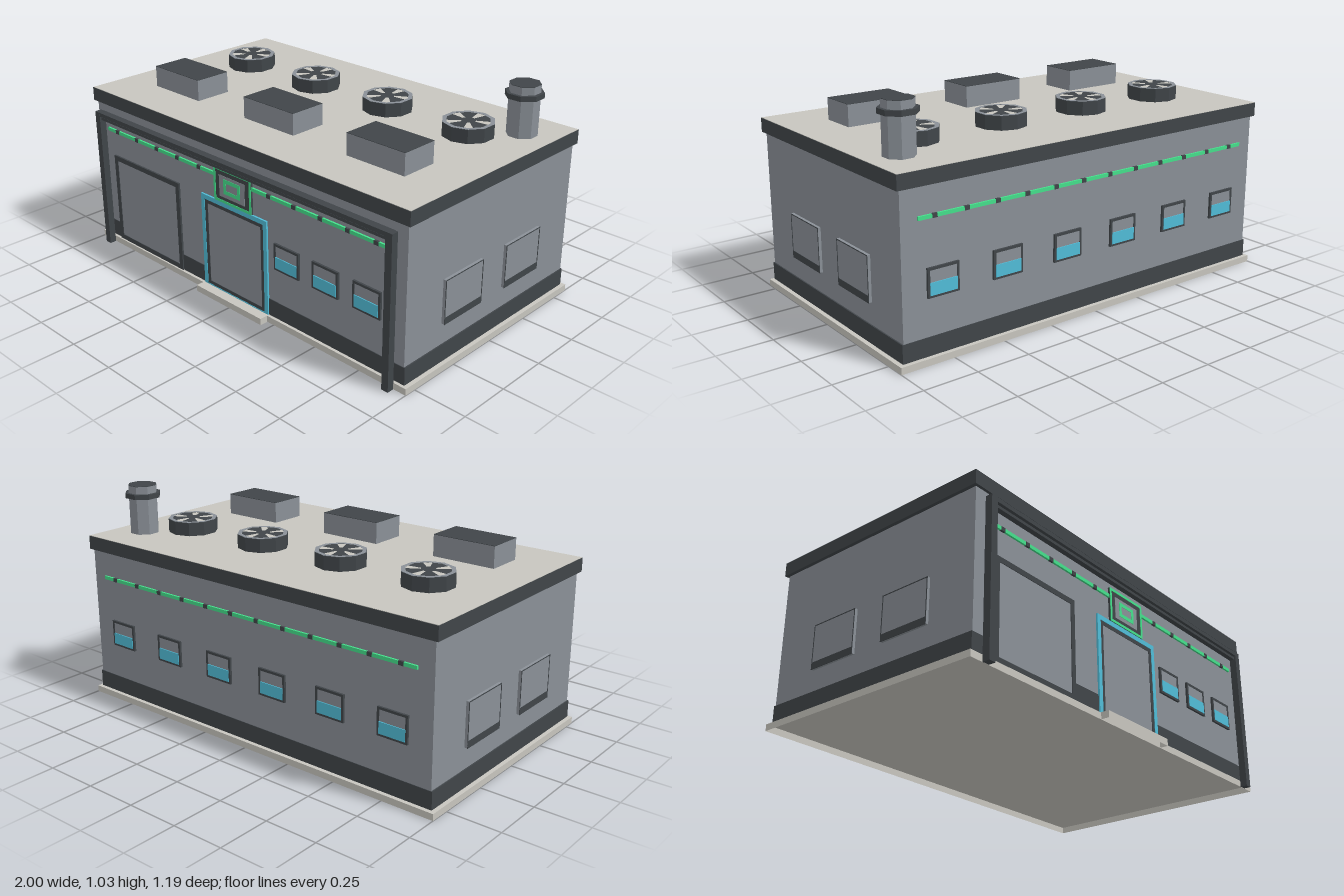
import * as THREE from 'three';

const mat = (name, color) => {
  const m = new THREE.MeshStandardMaterial({ color });
  m.name = name;
  return m;
};

export function createModel() {
  const wall = mat('wall grey', 0x8a9097);
  const dark = mat('dark trim', 0x404549);
  const pale = mat('pale concrete', 0xc7c5be);
  pale.side = THREE.DoubleSide;
  const blue = mat('blue', 0x51bdd8);
  const green = mat('green', 0x45e08c);
  const model = new THREE.Group();
  model.name = 'building';

  const group = (name, parent = model) => {
    const g = new THREE.Group();
    g.name = name;
    parent.add(g);
    return g;
  };
  const add = (parent, name, geo, material, x = 0, y = 0, z = 0) => {
    const m = new THREE.Mesh(geo, material);
    m.name = name;
    m.position.set(x, y, z);
    parent.add(m);
    return m;
  };
  // Box given by its limits on each axis
  const box = (parent, name, material, x0, x1, y0, y1, z0, z1) =>
    add(parent, name, new THREE.BoxGeometry(x1 - x0, y1 - y0, z1 - z0), material,
      (x0 + x1) / 2, (y0 + y1) / 2, (z0 + z1) / 2);
  // Box without its underside
  const openBox = (...args) => {
    const { geometry } = box(...args);
    const index = Array.from(geometry.index.array);
    index.splice(18, 6);
    geometry.clearGroups();
    geometry.setIndex(index);
  };
  // Rectangular ring standing on z = 0, facing +z
  const frame = (parent, name, material, x0, x1, y0, y1, t, depth, bottom = t) => {
    const s = new THREE.Shape([[x0, y0], [x1, y0], [x1, y1], [x0, y1]].map(p => new THREE.Vector2(...p)));
    s.holes.push(new THREE.Path([[x0 + t, y0 + bottom], [x0 + t, y1 - t], [x1 - t, y1 - t], [x1 - t, y0 + bottom]]
      .map(p => new THREE.Vector2(...p))));
    return add(parent, name, new THREE.ExtrudeGeometry(s, { depth, bevelEnabled: false }), material);
  };

  // Hollow base, open below
  openBox(model, 'baseSlab', pale, -1, 1, 0, 0.03, -0.594, 0.555);
  openBox(model, 'doorStep', pale, -0.22, 0.21, 0, 0.031, 0.556, 0.595);

  // Main body
  box(model, 'walls', wall, -0.976, 0.976, 0.033, 0.74, -0.575, 0.54);
  box(model, 'plinth', dark, -0.982, 0.982, 0.032, 0.113, -0.578, 0.543);
  box(model, 'roofEdge', dark, -0.992, 0.992, 0.735, 0.799, -0.587, 0.553);
  box(model, 'roofTop', pale, -0.99, 0.99, 0.798, 0.801, -0.585, 0.551);

  // Each facade is built facing +z, then turned into place
  const front = group('frontFacade');
  front.position.z = 0.54;
  const back = group('backFacade');
  back.position.z = -0.575;
  back.rotation.y = Math.PI;

  const addWindow = (parent, cx) => {
    const w = group('window', parent);
    w.position.x = cx;
    frame(w, 'windowFrame', dark, -0.074, 0.074, 0.277, 0.402, 0.011, 0.01);
    box(w, 'upperPane', wall, -0.064, 0.064, 0.34, 0.392, 0, 0.008);
    box(w, 'lowerPane', blue, -0.064, 0.064, 0.287, 0.34, 0, 0.012);
  };
  const addLightStrip = parent => {
    const s = group('lightStrip', parent);
    box(s, 'greenTube', green, -0.9, 0.9, 0.601, 0.617, 0, 0.009);
    for (let i = 0; i < 12; i++) {
      const x = -0.825 + i * 0.15;
      box(s, 'tubeBracket', dark, x - 0.012, x + 0.012, 0.6, 0.618, 0, 0.01);
    }
  };
  [0.328, 0.553, 0.78].forEach(x => addWindow(front, x));
  for (let i = 0; i < 6; i++) addWindow(back, -0.79 + i * 0.316);
  addLightStrip(front);
  addLightStrip(back);

  // Loading door
  const garage = group('garageDoor', front);
  frame(garage, 'garageFrame', dark, -0.865, -0.375, 0.032, 0.48, 0.024, 0.009);
  box(garage, 'garagePanel', wall, -0.845, -0.395, 0.05, 0.46, 0, 0.006);

  // Entrance
  const entry = group('entrance', front);
  frame(entry, 'entranceFrame', blue, -0.215, 0.21, 0.032, 0.487, 0.022, 0.009, 0.004);
  frame(entry, 'innerFrame', dark, -0.194, 0.189, 0.034, 0.466, 0.019, 0.007);
  box(entry, 'entrancePanel', wall, -0.18, 0.175, 0.045, 0.452, 0, 0.005);

  // Sign panel with nested rectangular rings
  const sign = group('signPanel', front);
  box(sign, 'signBoard', dark, -0.12, 0.12, 0.488, 0.651, 0, 0.01);
  frame(sign, 'signBorder', green, -0.12, 0.12, 0.488, 0.651, 0.012, 0.002).position.z = 0.01;
  box(sign, 'signPlate', wall, -0.084, 0.08, 0.516, 0.618, 0.01, 0.0115);
  frame(sign, 'signRing', green, -0.055, 0.052, 0.534, 0.604, 0.017, 0.0015).position.z = 0.0115;

  // Front portal of posts and double beam
  const portal = group('frontPortal');
  for (const x of [-0.92, 0.92]) box(portal, 'post', dark, x - 0.017, x + 0.017, 0, 0.7, 0.556, 0.589);
  box(portal, 'upperBeam', dark, -0.92, 0.92, 0.68, 0.699, 0.552, 0.588);
  box(portal, 'lowerBeam', dark, -0.92, 0.92, 0.661, 0.674, 0.556, 0.58);

  // Two hatches on each side wall
  for (const side of [-1, 1]) {
    const g = group(side > 0 ? 'leftHatches' : 'rightHatches');
    g.position.x = side * 0.976;
    g.rotation.y = side * Math.PI / 2;
    for (const z of [0.188, -0.222]) {
      const h = group('hatch', g);
      h.position.x = -side * z;
      box(h, 'hatchPanel', wall, -0.124, 0.124, 0.212, 0.414, 0, 0.013);
      frame(h, 'hatchFrame', dark, -0.124, 0.124, 0.21, 0.414, 0.004, 0.002, 0.032).position.z = 0.0125;
    }
  }

  // Roof units
  for (const x of [-0.625, 0, 0.62]) {
    const u = group('roofUnit');
    box(u, 'unitBody', wall, x - 0.155, x + 0.155, 0.8, 0.9, 0.15, 0.33);
    box(u, 'unitLid', dark, x - 0.155, x + 0.155, 0.9, 0.902, 0.15, 0.33);
  }

  // Roof fans
  const flat = g => g.rotateX(-Math.PI / 2);
  const blade = flat(new THREE.CircleGeometry(0.097, 3, -0.42, 0.84));
  const drum = new THREE.CylinderGeometry(0.117, 0.117, 0.064, 10).toNonIndexed();
  drum.computeVertexNormals();
  for (const x of [-0.685, -0.23, 0.225, 0.68]) {
    const f = group('roofFan');
    f.position.set(x, 0.8, -0.205);
    add(f, 'fanDrum', drum, dark, 0, 0.032, 0);
    add(f, 'fanRim', flat(new THREE.RingGeometry(0.098, 0.117, 10, 1, Math.PI / 2)), wall, 0, 0.066, 0);
    add(f, 'fanBed', flat(new THREE.CircleGeometry(0.098, 20)), pale, 0, 0.0645, 0);
    for (let i = 0; i < 5; i++)
      add(f, 'fanBlade', blade, dark, 0, 0.0655, 0).rotation.y = Math.PI * 0.3 + i * Math.PI * 0.4;
    add(f, 'fanHub', flat(new THREE.CircleGeometry(0.034, 10)), dark, 0, 0.0662, 0);
  }

  // Octagonal chimney
  const chimney = group('chimney');
  chimney.position.set(0.843, 0, -0.37);
  const oct = (name, r, y0, y1, m) => {
    const g = new THREE.CylinderGeometry(r, r, y1 - y0, 8).toNonIndexed();
    g.computeVertexNormals();
    add(chimney, name, g, m, 0, (y0 + y1) / 2, 0).rotation.y = Math.PI / 8;
  };
  oct('chimneyStack', 0.069, 0.8, 1.031, wall);
  oct('chimneyCollar', 0.085, 0.973, 0.996, dark);
  oct('chimneyCap', 0.069, 1.031, 1.033, dark);

  return model;
}
